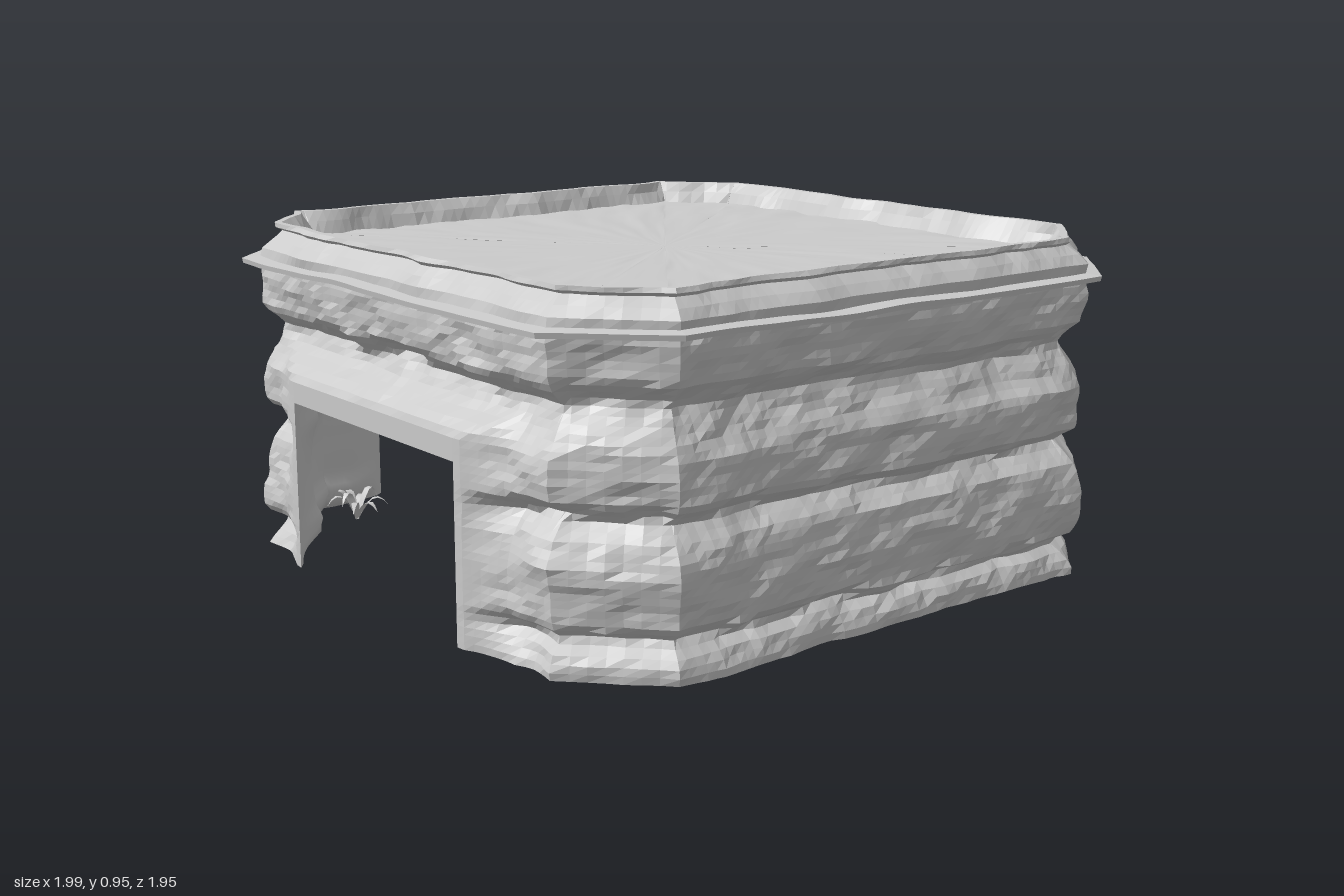
import * as THREE from 'three';

// Seeded value noise, range -1..1
const hash = (x, y, z) => {
  const s = Math.sin(x * 127.1 + y * 311.7 + z * 74.7) * 43758.5453;
  return (s - Math.floor(s)) * 2 - 1;
};
const smooth = (t) => t * t * (3 - 2 * t);
const { lerp: mix, clamp } = THREE.MathUtils;
function noise(x, y, z) {
  const a = Math.floor(x), b = Math.floor(y), c = Math.floor(z);
  const u = smooth(x - a), v = smooth(y - b), w = smooth(z - c);
  const edge = (j, k) => mix(hash(a, b + j, c + k), hash(a + 1, b + j, c + k), u);
  return mix(mix(edge(0, 0), edge(1, 0), v), mix(edge(0, 1), edge(1, 1), v), w);
}

const HX = 0.94, HZ = 0.91;           // half widths of the octagonal plan
const CX = 0.72, CZ = 0.7;            // where the corner chamfers begin
const OPEN = { from: -0.44, to: 0.39, top: 0.48 };

// Columns around the plan: position, outward direction, and opening plane if any
function makeColumns() {
  const span = (a, b, n) => Array.from({ length: n }, (_, i) => mix(a, b, i / n));
  const lateral = (c) => [...span(-c, OPEN.from, 10), ...span(OPEN.from, OPEN.to, 22), ...span(OPEN.to, c, 12), c];
  const cols = [];
  const sides = [
    { n: [0, 1], plane: 0.97 - HZ },
    { n: [1, 0], plane: null },
    { n: [0, -1], plane: 0.98 - HZ },
    { n: [-1, 0], plane: 1.0 - HX },
  ];
  for (const [k, { n, plane }] of sides.entries()) {
    const alongX = n[0] === 0, c = alongX ? CX : CZ;
    const list = lateral(c);
    if (k === 1 || k === 2) list.reverse();
    for (const a of list) {
      const corner = Math.abs(a) === c ? Math.sign(a) * 0.41 : 0;   // mitre at the corner
      cols.push(alongX
        ? { x: a, z: n[1] * HZ, nx: corner, nz: n[1], a, plane }
        : { x: n[0] * HX, z: a, nx: n[0], nz: corner, a, plane });
    }
    // chamfer to the next side
    const last = cols[cols.length - 1], m = sides[(k + 1) % 4].n;
    const sx = n[0] + m[0], sz = n[1] + m[1];
    const end = alongX ? { x: sx * HX, z: sz * CZ } : { x: sx * CX, z: sz * HZ };
    for (let i = 1; i < 7; i++) {
      cols.push({
        x: mix(last.x, end.x, i / 7), z: mix(last.z, end.z, i / 7),
        nx: sx * 0.7, nz: sz * 0.7, a: 9, plane: null,
      });
    }
  }
  return cols;
}
const COLS = makeColumns();

// Surface through closed rings; place(col, row) gives a point, skip(col, next, row) leaves a hole
function loft(name, rows, place, flat, skip = () => false) {
  const pos = [], index = [], n = COLS.length;
  for (const row of rows) for (const col of COLS) pos.push(...place(col, row));
  for (let j = 0; j < rows.length - 1; j++) {
    for (let i = 0; i < n; i++) {
      const k = (i + 1) % n;
      if (skip(COLS[i], COLS[k], rows[j])) continue;
      const a = j * n + i, b = j * n + k;
      index.push(a, b, b + n, a, b + n, a + n);
    }
  }
  const geo = new THREE.BufferGeometry();
  geo.setAttribute('position', new THREE.Float32BufferAttribute(pos, 3));
  geo.setIndex(index);
  geo.computeVertexNormals();
  const mesh = new THREE.Mesh(geo, new THREE.MeshStandardMaterial({
    color: 0xcccccc, flatShading: flat, side: THREE.DoubleSide,
  }));
  mesh.name = name;
  return mesh;
}

// Layered rock section: [height, offset from plan]
const STRATA = [[-0.1, 0.01], [0.02, 0.005], [0.06, -0.015], [0.085, -0.05], [0.125, 0.012], [0.25, 0.015], [0.33, -0.005],
  [0.385, -0.055], [0.43, 0.01], [0.54, 0.01], [0.6, -0.03], [0.655, -0.06], [0.71, 0.005], [0.8, 0.015], [1, 0]];
function section(y) {
  const i = Math.max(1, STRATA.findIndex((p) => p[0] >= y));
  const [a, b] = [STRATA[i - 1], STRATA[i]];
  return mix(a[1], b[1], clamp((y - a[0]) / (b[0] - a[0]), 0, 1));
}
function rockOffset({ x, z }, y) {
  const step = Math.round(noise(x * 6, y * 5, z * 6) * 2.5) / 2.5;   // broken, stepped ledges
  const shift = 0.016 * noise(x * 3, 3, z * 3) + 0.024 * step;
  const block = Math.round(noise(x * 9 + y * 6, y * 14, z * 9) * 2) / 2;
  return section(y + shift) + 0.012 * noise(x * 5, y * 7, z * 5) + 0.009 * block
    + 0.008 * noise(x * 14, y * 28, z * 14);
}

// Distances beside and above the opening
const beside = (col) => (col.plane === null ? 9 : Math.max(OPEN.from - col.a, col.a - OPEN.to, 0));
const above = (y) => Math.max(y - OPEN.top, 0);

// Wall surface, drawn out to a flat plane around each opening
function wallPoint(col, y, inner) {
  const side = beside(col), up = above(y);
  const frame = 1 - Math.max(clamp((side - 0.02) / 0.15, 0, 1), clamp((up - 0.07) / 0.06, 0, 1));
  let off = rockOffset(col, y), plane = col.plane ?? 0;
  if (inner) {
    const soft = -0.085 + 0.3 * section(y) + 0.02 * noise(col.x * 5, y * 4, col.z * 5);
    off = mix(off, soft, Math.min(1, y / 0.04));
    plane -= 0.02 * Math.min(1, Math.max(side, up) / 0.03);
  }
  off = mix(off, plane, frame);
  return [col.x + col.nx * off, y, col.z + col.nz * off];
}

// Tuft of arching leaves
function makePlant(x, z, turn) {
  const pos = [], index = [];
  for (let l = 0; l < 9; l++) {
    const ang = turn + l * 0.7 + 0.2 * hash(l, turn, 1);
    const reach = 0.095 + 0.02 * hash(l, turn, 2), high = 0.08 + 0.02 * hash(l, turn, 3);
    const c = Math.cos(ang), s = Math.sin(ang), base = pos.length / 3;
    for (let i = 0; i <= 6; i++) {
      const t = i / 6, r = reach * t, y = high * Math.sin(t * 2.5), w = 0.012 * Math.sin(0.5 + t * 2.64);
      pos.push(c * r - s * w, y, s * r + c * w, c * r + s * w, y, s * r - c * w);
      if (i < 6) {
        const k = base + i * 2;
        index.push(k, k + 1, k + 3, k, k + 3, k + 2);
      }
    }
  }
  const geo = new THREE.BufferGeometry();
  geo.setAttribute('position', new THREE.Float32BufferAttribute(pos, 3));
  geo.setIndex(index);
  geo.computeVertexNormals();
  const mesh = new THREE.Mesh(geo, new THREE.MeshStandardMaterial({ color: 0xcccccc, side: THREE.DoubleSide }));
  mesh.name = 'plant';
  mesh.position.set(x, 0, z);
  return mesh;
}

export function createModel() {
  const group = new THREE.Group();
  group.name = 'rockShelter';

  // Rock walls with three openings, and their smooth lining
  const heights = Array.from({ length: 43 }, (_, j) => j * 0.02);
  const isOpen = (a, b, y) => a.plane !== null && b.plane === a.plane && y < OPEN.top - 0.001
    && (a.a + b.a) / 2 > OPEN.from && (a.a + b.a) / 2 < OPEN.to;
  group.add(loft('rockWall', heights, (c, y) => wallPoint(c, y, false), true, isOpen));
  group.add(loft('innerWall', heights, (c, y) => wallPoint(c, y, true), false, isOpen));

  // Ceiling
  group.add(loft('ceiling', [1, 0], (c, s) => [(c.x - c.nx * 0.07) * s, 0.82, (c.z - c.nz * 0.07) * s], true));

  // Thin ledge around the top
  const ledge = [[0.836, -0.04], [0.838, 0.05], [0.852, 0.053], [0.86, -0.02]];
  group.add(loft('ledge', ledge, (c, [y, off]) => [
    c.x + c.nx * off, y + 0.007 * noise(c.x * 5, 0, c.z * 5), c.z + c.nz * off], true));

  // Raised rock rim: [height, offset, roughness]
  const rim = [[0.85, 0.01, 0.3], [0.88, 0.008, 0.6], [0.905, -0.015, 0.8], [0.928, -0.042, 1], [0.938, -0.026, 1],
    [0.95, -0.03, 1], [0.95, -0.05, 1.1], [0.92, -0.07, 1], [0.875, -0.095, 0.8]];
  group.add(loft('rim', rim, (c, [y, off, rough]) => {
    const o = off + rough * (0.028 * noise(c.x * 7, y * 9, c.z * 7) + 0.009 * noise(c.x * 16, y * 25, c.z * 16));
    return [c.x + c.nx * o, y, c.z + c.nz * o];
  }, true));

  // Slightly streaked top surface
  const scales = [1, 0.93, 0.86, 0.78, 0.7, 0.62, 0.54, 0.46, 0.38, 0.3, 0.22, 0.14, 0.07, 0];
  group.add(loft('topSurface', scales, (c, s) => {
    const y = 0.885 + s * (0.005 * noise(c.x * 10, s * 6, c.z * 10) + 0.003 * noise(c.x * 20, s * 14, c.z * 20));
    return [(c.x - c.nx * 0.07) * s, y, (c.z - c.nz * 0.07) * s];
  }, false));

  // Plants in the inner corners
  const spots = [[0.66, 0.64], [0.78, -0.6], [-0.68, -0.67], [-0.78, 0.6]];
  spots.forEach(([x, z], i) => group.add(makePlant(x, z, i * 1.3)));

  return group;
}
